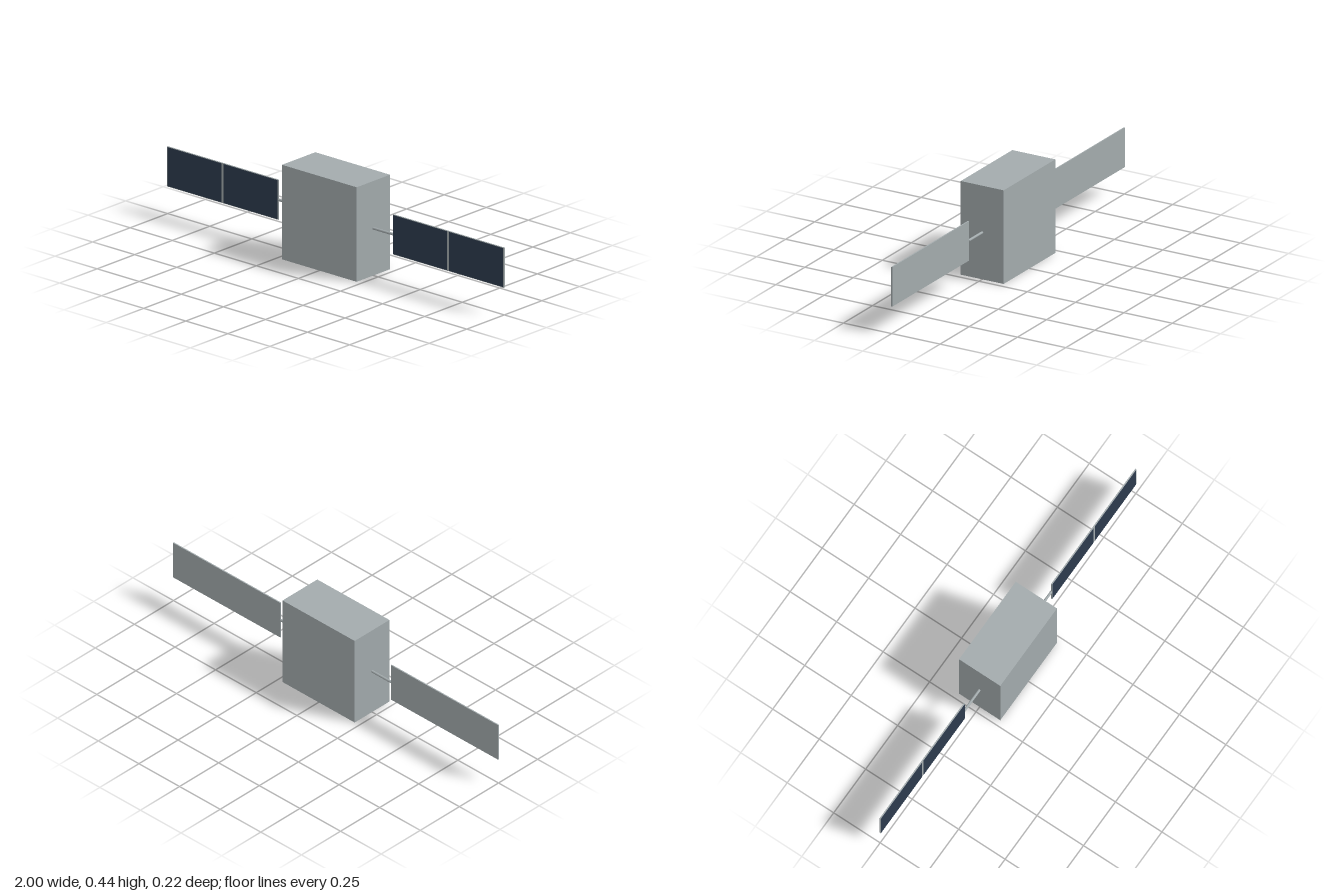
import * as THREE from 'three';

export function createModel() {
  const model = new THREE.Group();
  model.name = 'satellite';
  const metal = new THREE.MeshStandardMaterial({ color: 0xa3abad });
  metal.name = 'grey metal';
  const cellBlue = new THREE.MeshStandardMaterial({ color: 0x2d3b4e });
  cellBlue.name = 'dark blue cell';

  const midY = 0.2225;
  const add = (name, geometry, material, x, y, z, parent = model) => {
    const mesh = new THREE.Mesh(geometry, material);
    mesh.name = name;
    mesh.position.set(x, y, z);
    parent.add(mesh);
    return mesh;
  };

  // Box-shaped main body
  add('body', new THREE.BoxGeometry(0.444, 0.445, 0.222), metal, 0, midY, 0);

  const panelWidth = 0.66, panelHeight = 0.188, panelDepth = 0.006;
  const cellWidth = 0.321, cellGap = 0.012, cellDepth = 0.001;

  for (const side of [1, -1]) {
    const wing = new THREE.Group();
    wing.name = side > 0 ? 'leftWing' : 'rightWing';
    model.add(wing);

    // Boom joining the body to the panel
    const boom = new THREE.CylinderGeometry(0.006, 0.006, 0.12, 12).rotateZ(Math.PI / 2);
    add('boom', boom, metal, side * 0.281, midY, 0, wing);

    // Thin backing panel
    const centreX = side * (1 - panelWidth / 2);
    add('panel', new THREE.BoxGeometry(panelWidth, panelHeight, panelDepth), metal, centreX, midY, 0, wing);

    // Two solar cells on the front; both wings have the same layout, not mirrored
    for (let i = 0; i < 2; i++) {
      const x = centreX - panelWidth / 2 + 0.002 + cellWidth / 2 + i * (cellWidth + cellGap);
      add('solarCell', new THREE.BoxGeometry(cellWidth, panelHeight - 0.005, cellDepth), cellBlue,
        x, midY, panelDepth / 2 + cellDepth / 2, wing);
    }
  }
  return model;
}
